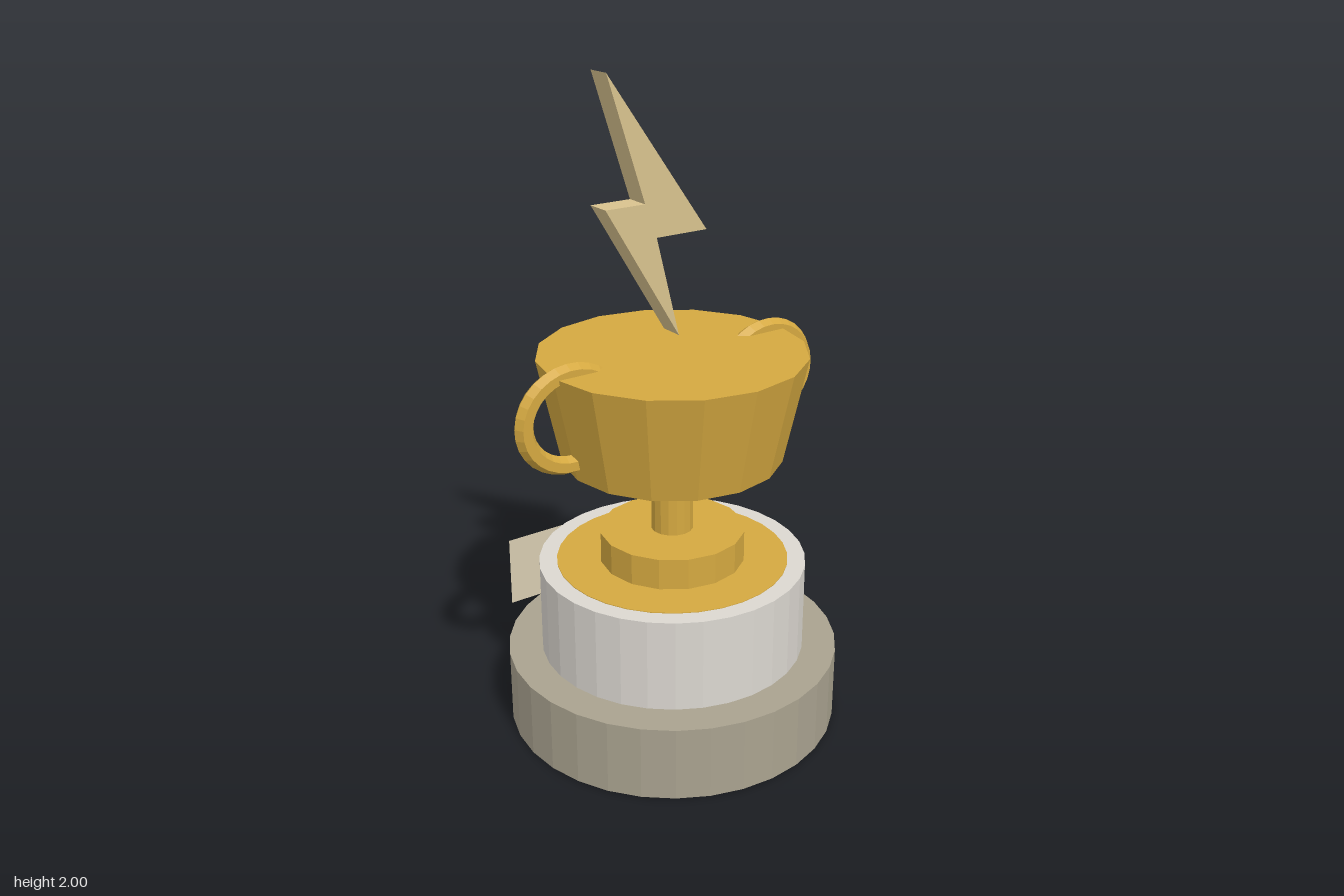
import * as THREE from 'three';

export function createModel() {
  const model = new THREE.Group();
  const mat = (name, color, side = THREE.FrontSide) =>
    new THREE.MeshStandardMaterial({ name, color, flatShading: true, side });
  const gold = mat('gold', 0xd4a840);
  const silver = mat('silver', 0xdbd7d0);
  const stone = mat('stone', 0xa9a28f);
  const paleGold = mat('paleGold', 0xd8c28e);
  const plaqueTan = mat('plaqueTan', 0xd6cbb0, THREE.DoubleSide);

  const add = (name, geometry, material) => {
    const mesh = new THREE.Mesh(geometry, material);
    mesh.name = name;
    model.add(mesh);
    return mesh;
  };

  // Stacked round parts: name, bottom y, top y, bottom radius, top radius, sides, material
  const tiers = [
    ['base', 0, 0.235, 0.52, 0.52, 32, stone],
    ['pedestal', 0.235, 0.525, 0.415, 0.415, 32, silver],
    ['pedestalInlay', 0.522, 0.527, 0.36, 0.36, 32, gold],
    ['foot', 0.525, 0.625, 0.225, 0.225, 16, gold],
    ['stem', 0.625, 0.87, 0.065, 0.065, 16, gold],
    ['cup', 0.87, 1.2, 0.335, 0.405, 16, gold],
  ];
  for (const [name, y0, y1, r0, r1, sides, material] of tiers) {
    add(name, new THREE.CylinderGeometry(r1, r0, y1 - y0, sides), material)
      .position.y = (y0 + y1) / 2;
  }

  // Ring handles, their ends buried in the cup
  const start = THREE.MathUtils.degToRad(-105);
  const arc = THREE.MathUtils.degToRad(240);
  for (const side of [1, -1]) {
    const ring = new THREE.TorusGeometry(0.14, 0.028, 6, 20, arc);
    ring.rotateZ(start);
    ring.scale(1.08, 1, 1);
    if (side < 0) ring.rotateX(Math.PI).rotateZ(Math.PI); // half turn about y
    add(side > 0 ? 'leftHandle' : 'rightHandle', ring, gold)
      .position.set(side * 0.352, 1.067, 0);
  }

  // Lightning bolt standing on the cup
  const bolt = new THREE.Shape([
    [-0.145, 2], [-0.02, 1.62], [-0.155, 1.62],
    [0.1, 1.2], [0.02, 1.515], [0.2, 1.515],
  ].map(([x, y]) => new THREE.Vector2(x, y)));
  add('bolt', new THREE.ExtrudeGeometry(bolt, { depth: 0.08, bevelEnabled: false }), paleGold)
    .position.z = -0.187;

  // Blank plaque behind the pedestal
  add('plaque', new THREE.PlaneGeometry(0.69, 0.23).rotateY(Math.PI), plaqueTan)
    .position.set(0, 0.378, -0.43);

  return model;
}
